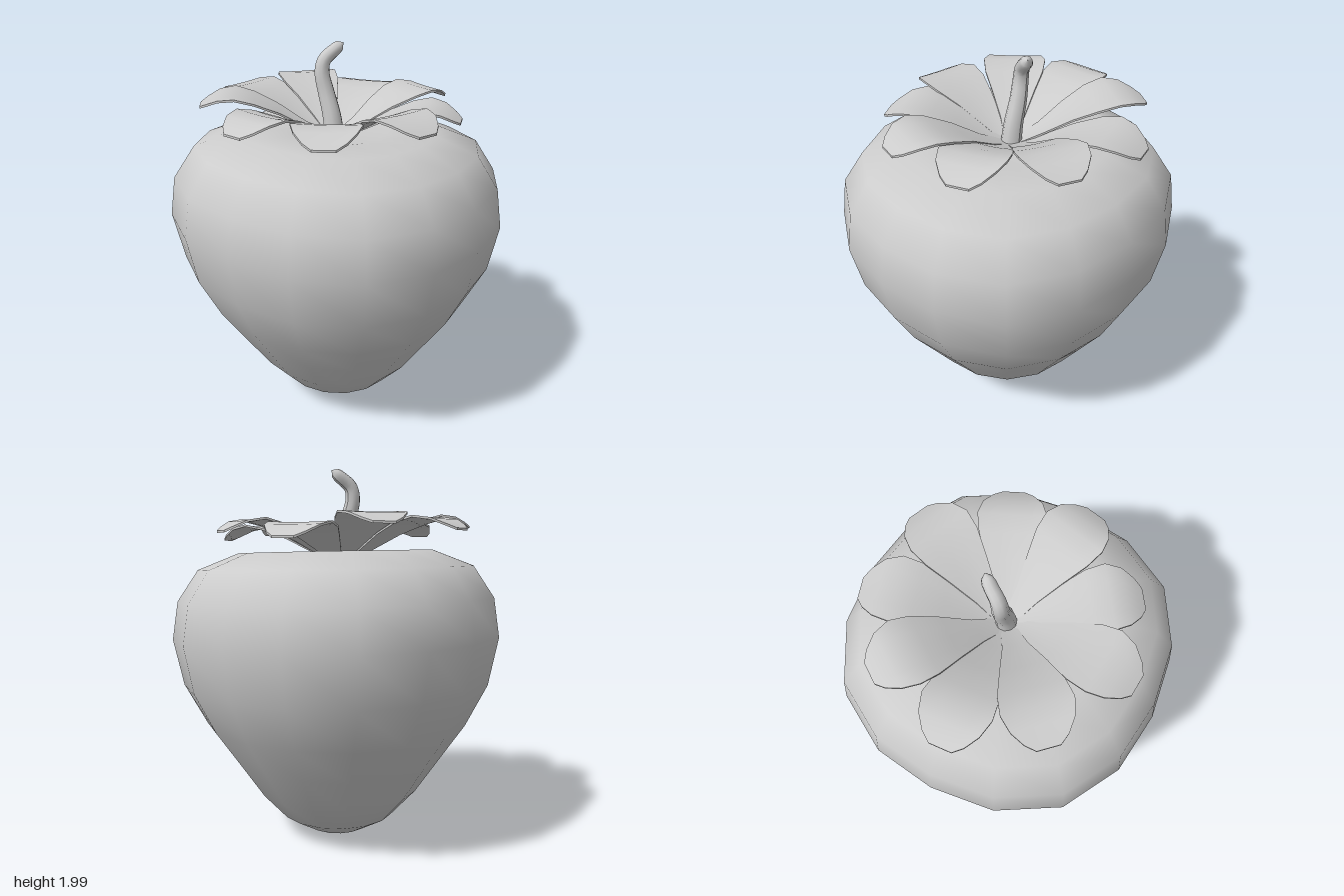
import * as THREE from 'three';
import { mergeVertices } from 'three/addons/utils/BufferGeometryUtils.js';

const material = new THREE.MeshStandardMaterial({ color: 0xcccccc, side: THREE.DoubleSide });

function addMesh(parent, geometry, name) {
  const mesh = new THREE.Mesh(geometry, material);
  mesh.name = name;
  parent.add(mesh);
  return mesh;
}

// Fruit body: 16-sided lathe with a dimpled top, fuller on the diagonals
// and leaning slightly up at the back
function bodyGeometry() {
  const profile = [
    [0, 0], [0.165, 0.03], [0.31, 0.115], [0.44, 0.26], [0.565, 0.45], [0.69, 0.64],
    [0.795, 0.86], [0.84, 1.11], [0.81, 1.315], [0.705, 1.48], [0.5, 1.565],
    [0.25, 1.55], [0, 1.5],
  ].map(([r, y]) => new THREE.Vector2(r, y));
  const lathe = new THREE.LatheGeometry(profile, 16);
  lathe.deleteAttribute('uv');
  lathe.deleteAttribute('normal');
  const geometry = mergeVertices(lathe);
  const p = geometry.attributes.position;
  for (let i = 0; i < p.count; i++) {
    const x = p.getX(i), y = p.getY(i), z = p.getZ(i);
    const upper = Math.min(1, y);
    const bulge = 1 + 0.056 * upper * Math.sin(2 * Math.atan2(x, z)) ** 2;
    p.setXYZ(i, x * bulge, y - 0.024 * z * upper, z * bulge * 1.01 - 0.004);
  }
  geometry.computeVertexNormals();
  return geometry;
}

// Sepal rows from root to tip: distance, half width, height (unit length)
const SEPAL_ROWS = [
  [0, 0.03, 1.51], [0.22, 0.062, 1.57], [0.42, 0.112, 1.645], [0.6, 0.155, 1.695],
  [0.74, 0.168, 1.718], [0.86, 0.145, 1.705], [0.95, 0.1, 1.675], [1, 0.055, 1.655],
];

// Thin box bent along the rows, with a slightly cupped cross-section
function sepalGeometry(length, lift) {
  const rows = SEPAL_ROWS.length - 1;
  const geometry = new THREE.BoxGeometry(2, 0.011, 1, 4, 1, rows);
  const p = geometry.attributes.position;
  for (let i = 0; i < p.count; i++) {
    const side = p.getX(i);
    const [t, halfWidth, height] = SEPAL_ROWS[Math.round((p.getZ(i) + 0.5) * rows)];
    const cup = 0.008 * (side * side - 0.5) * Math.sin(Math.PI * t);
    p.setXYZ(i, side * halfWidth, height + lift * t + cup + p.getY(i), t * length);
  }
  geometry.computeVertexNormals();
  return geometry;
}

// Stem: bent tube, tapered ring by ring and closed at the tip
function stemGeometry() {
  const path = new THREE.CatmullRomCurve3([
    [0, 1.49, -0.025], [0, 1.62, -0.045], [-0.002, 1.74, -0.08], [-0.008, 1.84, -0.102],
    [0.005, 1.9, -0.098], [0.055, 1.948, -0.07], [0.094, 1.984, -0.042],
  ].map((v) => new THREE.Vector3(...v)));
  const steps = 24, sides = 10;
  const geometry = new THREE.TubeGeometry(path, steps, 1, sides);
  const p = geometry.attributes.position;
  const v = new THREE.Vector3();
  for (let i = 0; i < p.count; i++) {
    const t = Math.floor(i / (sides + 1)) / steps;
    const radius = t === 1 ? 0 : t > 0.94 ? 0.027 : 0.055 - 0.024 * t;
    const centre = path.getPointAt(t);
    v.fromBufferAttribute(p, i).sub(centre).multiplyScalar(radius).add(centre);
    p.setXYZ(i, v.x, v.y, v.z);
  }
  geometry.computeVertexNormals();
  return geometry;
}

export function createModel() {
  const model = new THREE.Group();
  model.name = 'strawberry';
  addMesh(model, bodyGeometry(), 'fruitBody');

  // Crown of sepals: tip x, tip z, lift (lower ones tuck under their neighbours)
  const crown = new THREE.Group();
  crown.name = 'sepalCrown';
  const rootZ = -0.03;
  const tips = [
    [-0.045, -0.74, 0.02], [0.39, -0.595, 0.045], [0.67, -0.235, -0.02],
    [0.62, 0.235, 0.01], [0.265, 0.57, -0.025], [-0.155, 0.625, 0.005],
    [-0.545, 0.33, -0.025], [-0.69, -0.085, 0.0], [-0.465, -0.53, 0.04],
  ];
  tips.forEach(([x, z, lift], i) => {
    const dz = z - rootZ;
    const sepal = addMesh(crown, sepalGeometry(Math.hypot(x, dz), lift), `sepal${i + 1}`);
    sepal.position.z = rootZ;
    sepal.rotation.y = Math.atan2(x, dz);
  });
  model.add(crown);

  addMesh(model, stemGeometry(), 'stem');
  return model;
}
